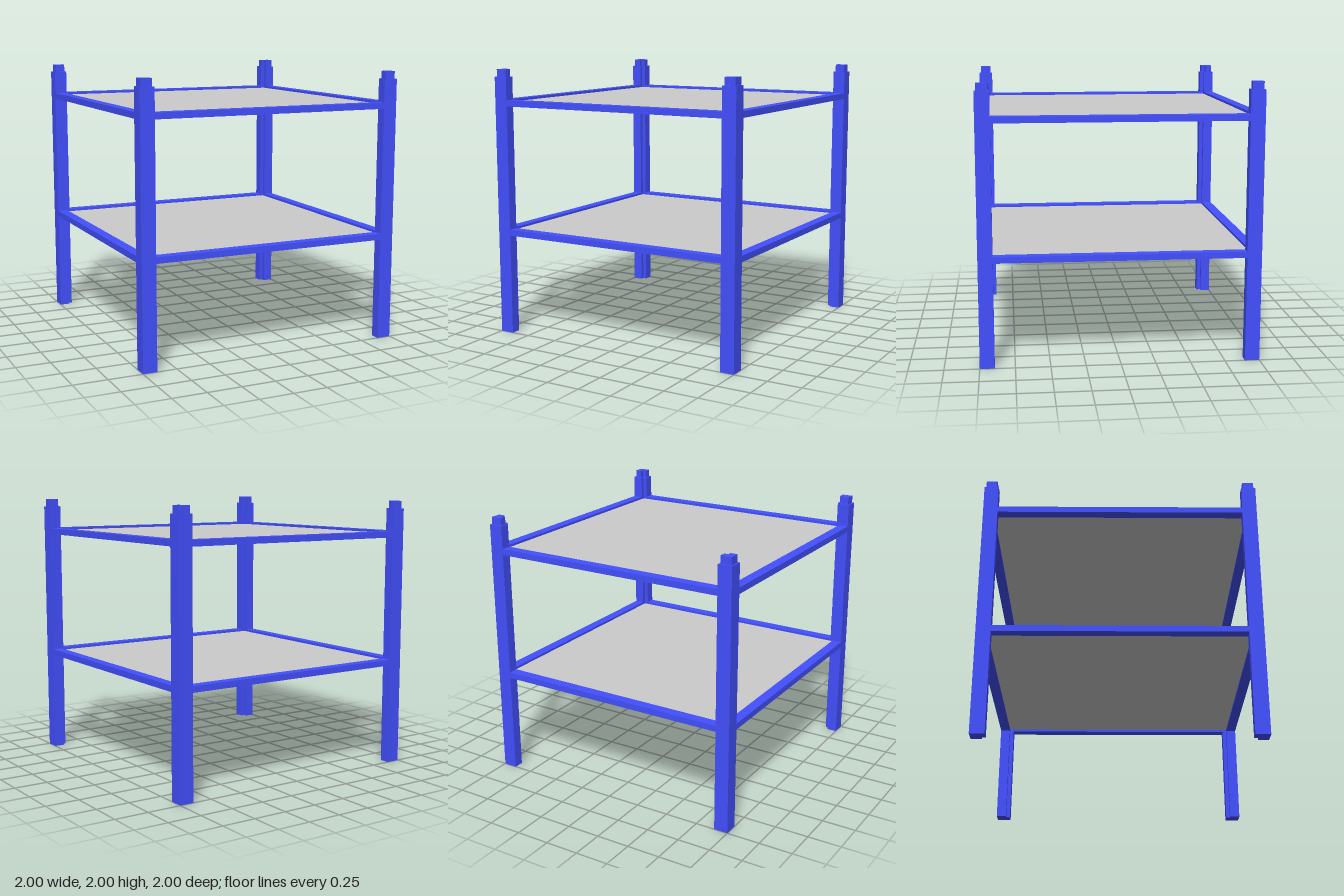
import * as THREE from 'three';

const TIER = 0.972;    // height of one stacked tier
const POST = 0.105;    // post width
const RAIL_W = 0.075;
const RAIL_H = 0.045;
const RAIL_Y = 0.78;   // rail centre above the tier's foot

const blue = new THREE.MeshStandardMaterial({ color: 0x4350ff, flatShading: true });
const grey = new THREE.MeshStandardMaterial({ color: 0xcccccc, flatShading: true });

// Square prism with a notch in its inner corner, placed at the +x +z corner
function notchedPrism(outer, inner, notch, height) {
  const s = new THREE.Shape();
  s.moveTo(outer, outer);
  s.lineTo(inner, outer);
  s.lineTo(inner, notch);
  s.lineTo(notch, notch);
  s.lineTo(notch, inner);
  s.lineTo(outer, inner);
  s.closePath();
  const g = new THREE.ExtrudeGeometry(s, { depth: height, bevelEnabled: false });
  g.rotateX(-Math.PI / 2);   // stand upright
  g.rotateY(-Math.PI / 2);   // bring it to the +x +z corner
  return g;
}

function addMesh(parent, name, geometry, material, y) {
  const m = new THREE.Mesh(geometry, material);
  m.name = name;
  m.position.y = y;
  parent.add(m);
  return m;
}

export function createModel() {
  const model = new THREE.Group();
  model.name = 'stackedShelf';

  const postGeo = notchedPrism(1, 1 - POST, 1 - RAIL_W, TIER);
  const spigotGeo = notchedPrism(0.988, 0.907, 0.937, 2 - 2 * TIER);
  const railGeo = new THREE.BoxGeometry(2 * (1 - POST), RAIL_H, RAIL_W);
  railGeo.translate(0, 0, 1 - RAIL_W / 2);
  const panelGeo = new THREE.BoxGeometry(2 * (1 - RAIL_W), 0.01, 2 * (1 - RAIL_W));

  // Two identical tiers, the upper one sitting over the spigots of the lower
  for (let t = 0; t < 2; t++) {
    const tier = new THREE.Group();
    tier.name = t === 0 ? 'lowerTier' : 'upperTier';
    tier.position.y = t * TIER;
    model.add(tier);

    // Posts, spigots and rails repeat around the four sides
    for (let k = 0; k < 4; k++) {
      const side = new THREE.Group();
      side.name = 'side' + (k + 1);
      side.rotation.y = k * Math.PI / 2;
      addMesh(side, 'post', postGeo, blue, 0);
      addMesh(side, 'spigot', spigotGeo, blue, TIER);
      addMesh(side, 'rail', railGeo, blue, RAIL_Y);
      tier.add(side);
    }

    // Thin shelf panel set at mid-height of the rails
    addMesh(tier, 'shelfPanel', panelGeo, grey, RAIL_Y);
  }
  return model;
}
